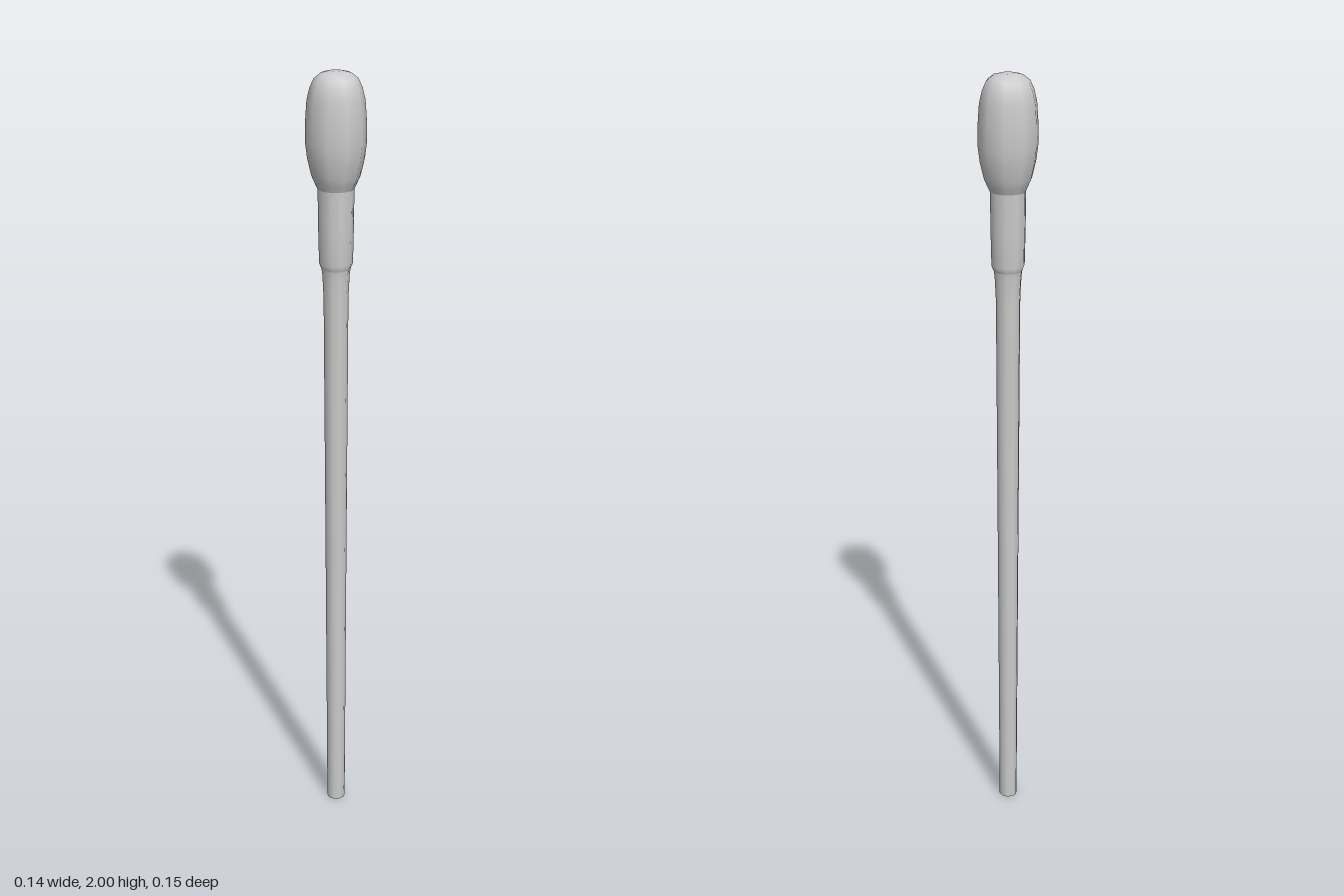
import * as THREE from 'three';

const SIDES = 10;

export function createModel() {
  const group = new THREE.Group();
  const material = new THREE.MeshStandardMaterial({ color: 0xcccccc });

  // Turns a [radius, height] profile, listed from bottom to top, into a named part
  const addTurned = (name, profile) => {
    const points = profile.map(([r, y]) => new THREE.Vector2(r, y));
    const mesh = new THREE.Mesh(new THREE.LatheGeometry(points, SIDES), material);
    mesh.name = name;
    group.add(mesh);
  };

  // Flat foot of the stem
  addTurned('stemBase', [[0, 0], [0.024, 0]]);

  // Long stem, slightly wider towards the top
  addTurned('stem', [[0.024, 0], [0.0275, 0.75], [0.031, 1.44], [0.034, 1.5], [0.036, 1.515]]);

  // Sleeve around the top of the stem
  addTurned('sleeve', [[0.036, 1.515], [0.042, 1.53], [0.044, 1.62], [0.045, 1.715]]);

  // Swollen head with a rounded crown
  addTurned('head', [
    [0.045, 1.715], [0.052, 1.73], [0.06, 1.748], [0.07, 1.79], [0.075, 1.83],
    [0.0745, 1.88], [0.071, 1.93], [0.064, 1.96], [0.054, 1.982], [0.038, 1.995],
    [0.018, 2], [0, 2],
  ]);

  return group;
}
